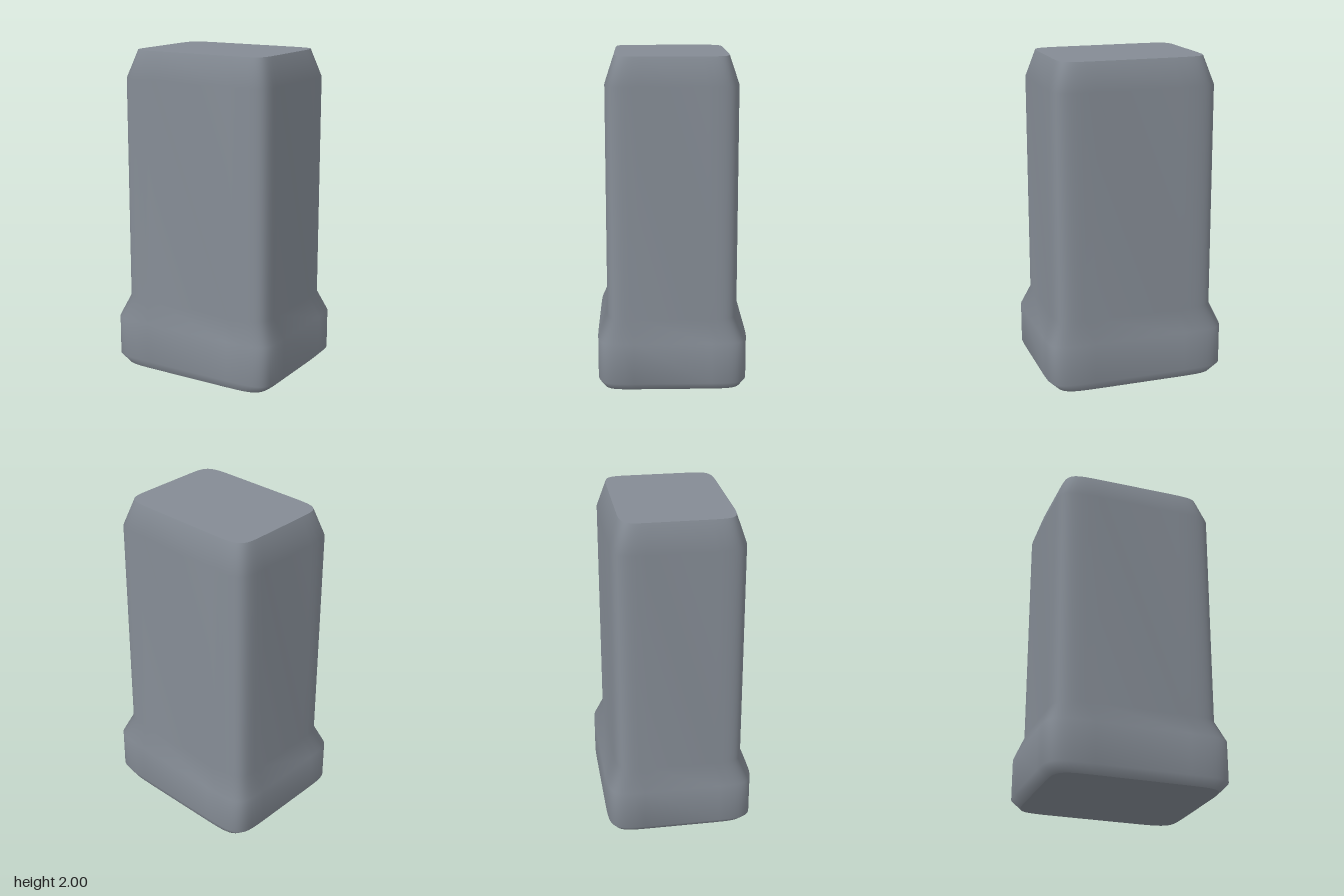
import * as THREE from 'three';

const SIDES = 64;
const POWER = 9; // squareness of the rounded-rectangle section

// Rounded-rectangle outline with half sizes rx, rz
function outline(rx, rz) {
  const bend = (v) => Math.sign(v) * Math.pow(Math.abs(v), 2 / POWER);
  return Array.from({ length: SIDES }, (_, i) => {
    const a = ((i + 0.5) / SIDES) * Math.PI * 2;
    return new THREE.Vector2(rx * bend(Math.cos(a)), rz * bend(Math.sin(a)));
  });
}

// Smooth skin through a stack of sections [y, rx, rz]
function loft(sections) {
  const positions = [];
  const index = [];
  for (const [y, rx, rz] of sections) {
    for (const p of outline(rx, rz)) positions.push(p.x, y, p.y);
  }
  for (let i = 0; i < sections.length - 1; i++) {
    for (let j = 0; j < SIDES; j++) {
      const k = (j + 1) % SIDES;
      const a = i * SIDES + j, b = i * SIDES + k;
      const c = b + SIDES, d = a + SIDES;
      index.push(a, d, c, a, c, b);
    }
  }
  const geometry = new THREE.BufferGeometry();
  geometry.setAttribute('position', new THREE.Float32BufferAttribute(positions, 3));
  geometry.setIndex(index);
  geometry.computeVertexNormals();
  return geometry;
}

// Flat end face, facing up (1) or down (-1)
function cap([y, rx, rz], facing) {
  const geometry = new THREE.ShapeGeometry(new THREE.Shape(outline(rx, rz)));
  return geometry.rotateX(-facing * Math.PI / 2).translate(0, y, 0);
}

export function createModel() {
  const group = new THREE.Group();
  const grey = new THREE.MeshStandardMaterial({ color: 0x848b94 });
  grey.name = 'slate grey';

  // Bevelled foot, sloping shoulder, straight shaft, tapered tip
  const sections = [
    [0, 0.51, 0.425],
    [0.055, 0.565, 0.453],
    [0.305, 0.565, 0.453],
    [0.44, 0.508, 0.396],
    [1.83, 0.508, 0.396],
    [2, 0.452, 0.34],
  ];
  const add = (name, geometry) => {
    const mesh = new THREE.Mesh(geometry, grey);
    mesh.name = name;
    group.add(mesh);
  };
  add('body', loft(sections));
  add('topFace', cap(sections[sections.length - 1], 1));
  add('bottomFace', cap(sections[0], -1));
  return group;
}
